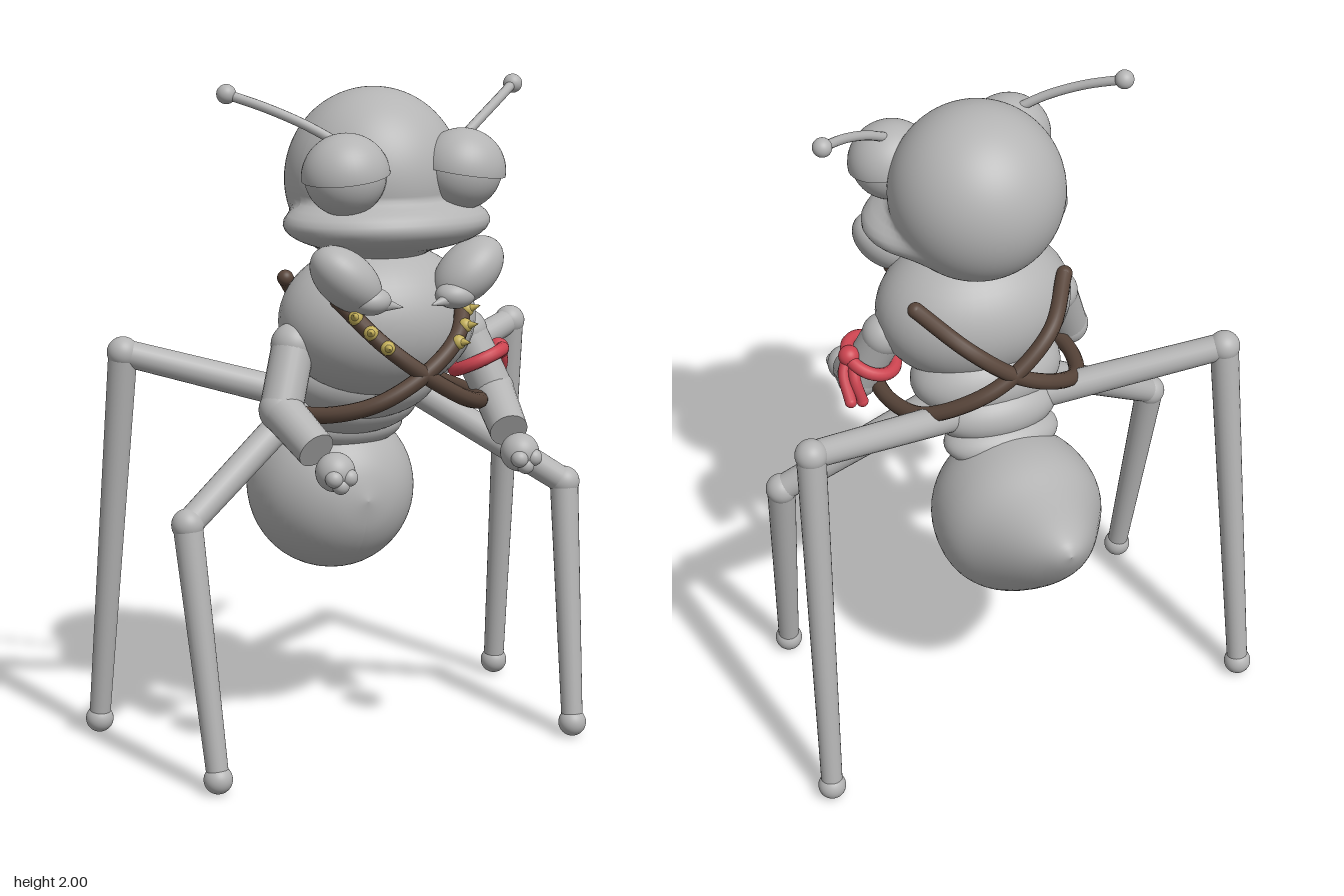
import * as THREE from 'three';

const V = (x, y, z) => new THREE.Vector3(x, y, z);
const skin = new THREE.MeshStandardMaterial({ color: 0xb4b4b4, side: THREE.DoubleSide });
skin.name = 'grey skin';
const leather = new THREE.MeshStandardMaterial({ color: 0x58453a });
leather.name = 'brown leather';
const cloth = new THREE.MeshStandardMaterial({ color: 0xcc4450 });
cloth.name = 'red cloth';
const metal = new THREE.MeshStandardMaterial({ color: 0xc4b05a });
metal.name = 'gold metal';

function add(parent, name, geometry, material = skin) {
  const mesh = new THREE.Mesh(geometry, material);
  mesh.name = name;
  parent.add(mesh);
  return mesh;
}

function ellipsoid(parent, name, pos, radii, material = skin) {
  const mesh = add(parent, name, new THREE.SphereGeometry(1, 40, 28), material);
  mesh.position.copy(pos);
  mesh.scale.copy(radii);
  return mesh;
}
const ball = (parent, name, pos, r, material) => ellipsoid(parent, name, pos, V(r, r, r), material);

// Tapered cylinder between two points
function limb(parent, name, a, b, ra, rb, material = skin) {
  const dir = b.clone().sub(a);
  const mesh = add(parent, name, new THREE.CylinderGeometry(rb, ra, dir.length(), 24), material);
  mesh.position.copy(a).add(b).multiplyScalar(0.5);
  mesh.quaternion.setFromUnitVectors(V(0, 1, 0), dir.normalize());
  return mesh;
}

// Tube along a smooth curve with rounded ends
function cord(parent, name, points, r, material) {
  const curve = new THREE.CatmullRomCurve3(points);
  add(parent, name, new THREE.TubeGeometry(curve, points.length * 10, r, 12), material);
  for (const p of [points[0], points[points.length - 1]]) ball(parent, name + 'End', p, r, material);
  return curve;
}

// Distance from an inner point along a direction to an ellipsoid's surface
function exitDistance(origin, dir, centre, radii) {
  const o = origin.clone().sub(centre).divide(radii);
  const d = dir.clone().divide(radii);
  const a = d.dot(d), b = o.dot(d), c = o.dot(o) - 1;
  return (-b + Math.sqrt(b * b - a * c)) / a;
}

// Skull and wide muzzle blended into one surface
function headGeometry() {
  const origin = V(0, 1.66, 0.17);
  const geometry = new THREE.SphereGeometry(1, 80, 64);
  const p = geometry.attributes.position;
  for (let i = 0; i < p.count; i++) {
    const d = V(p.getX(i), p.getY(i), p.getZ(i)).normalize();
    const skull = exitDistance(origin, d, V(0, 1.72, 0.13), V(0.258, 0.264, 0.256));
    const muzzle = exitDistance(origin, d, V(0, 1.605, 0.22), V(0.312, 0.09, 0.235));
    const k = 0.035;
    const h = Math.max(k - Math.abs(skull - muzzle), 0) / k;
    d.multiplyScalar(Math.max(skull, muzzle) + h * h * k / 4).add(origin);
    p.setXYZ(i, d.x, d.y, d.z);
  }
  geometry.computeVertexNormals();
  return geometry;
}

// Pear-shaped rear body, its tip swept upward
function gasterGeometry() {
  const profile = new THREE.SplineCurve([
    [0, 0.105], [0.1, 0.08], [0.18, 0.025], [0.235, -0.06], [0.254, -0.16], [0.24, -0.25],
    [0.186, -0.35], [0.115, -0.46], [0.05, -0.53], [0, -0.555],
  ].map(([r, z]) => new THREE.Vector2(r, z)));
  const pts = profile.getPoints(48).map(q => new THREE.Vector2(Math.max(q.x, 0), q.y)).reverse();
  const geometry = new THREE.LatheGeometry(pts, 48);
  geometry.rotateX(Math.PI / 2);
  const p = geometry.attributes.position;
  for (let i = 0; i < p.count; i++) {
    const t = Math.max(0, (-0.15 - p.getZ(i)) / 0.4);
    p.setY(i, p.getY(i) + 0.752 + 0.12 * t * t);
  }
  geometry.computeVertexNormals();
  return geometry;
}

function buildSide(s) {
  const g = new THREE.Group();
  g.name = s > 0 ? 'leftSide' : 'rightSide';
  const P = (x, y, z) => V(s * x, y, z);

  // Eye with heavy upper lid
  const eye = ellipsoid(g, 'eye', P(0.185, 1.755, 0.325), V(0.118, 0.115, 0.108));
  eye.rotation.z = s * 0.15;
  const lid = add(g, 'eyelid', new THREE.SphereGeometry(1, 40, 16, 0, Math.PI * 2, 0, Math.PI / 2));
  lid.position.copy(P(0.185, 1.752, 0.328));
  lid.scale.set(0.127, 0.122, 0.119);
  lid.rotation.set(0.08, 0, -s * 0.13);

  // Antenna
  cord(g, 'antenna', [P(0.19, 1.84, 0.31), P(0.28, 1.895, 0.265), P(0.37, 1.94, 0.205), P(0.46, 1.977, 0.13)], 0.014, skin);
  ball(g, 'antennaTip', P(0.46, 1.977, 0.13), 0.028);

  // Mandible with small point
  const jaw = ellipsoid(g, 'mandible', P(0.195, 1.465, 0.35), V(0.122, 0.077, 0.092));
  jaw.rotation.z = s * 0.72;
  ellipsoid(g, 'mandibleLobe', P(0.135, 1.405, 0.385), V(0.06, 0.04, 0.05));
  limb(g, 'mandibleTip', P(0.1, 1.395, 0.4), P(0.045, 1.385, 0.41), 0.02, 0.001);

  // Arm
  const elbow = P(0.345, 1.085, 0.235);
  ball(g, 'shoulder', P(0.28, 1.26, 0.18), 0.065);
  limb(g, 'upperArm', P(0.28, 1.26, 0.18), elbow, 0.062, 0.062);
  ball(g, 'elbow', elbow, 0.064);
  limb(g, 'forearm', elbow, P(0.31, 0.995, 0.395), 0.062, 0.056);
  ball(g, 'hand', P(0.295, 0.95, 0.485), 0.056);
  for (const [x, y, z] of [[0.272, 0.94, 0.525], [0.318, 0.94, 0.525], [0.295, 0.918, 0.52]])
    ball(g, 'finger', P(x, y, z), 0.025);

  // Legs: hip, knee, foot
  const legs = [
    ['frontLeg', P(0.14, 1.1, 0.03), P(0.62, 0.77, 0.195), P(0.588, 0.045, 0.32)],
    ['backLeg', P(0.1, 1.045, -0.01), P(0.652, 1.205, -0.207), P(0.692, 0.045, -0.355)],
  ];
  for (const [name, hip, knee, foot] of legs) {
    limb(g, name + 'Thigh', hip, knee, 0.046, 0.04);
    ball(g, name + 'Knee', knee, 0.047);
    limb(g, name + 'Shin', knee, foot, 0.043, 0.032);
    ball(g, name + 'Foot', foot, 0.042);
  }

  // Studded strap from this shoulder, across the chest and round the back
  const strap = cord(g, 'strap', [
    P(0.2, 1.4, 0.31), P(0.12, 1.29, 0.425), P(0, 1.195, 0.455), P(-0.14, 1.115, 0.425),
    P(-0.26, 1.075, 0.31), P(-0.3, 1.075, 0.14), P(-0.25, 1.1, -0.03), P(-0.12, 1.175, -0.125),
    P(0, 1.245, -0.142), P(0.13, 1.35, -0.11), P(0.235, 1.43, 0.03),
  ], 0.024, leather);
  for (const t of [0.045, 0.08, 0.115]) {
    const p = strap.getPointAt(t);
    const out = p.clone().sub(V(0, 1.25, 0.12)).normalize();
    ball(g, 'studBase', p.clone().addScaledVector(out, 0.016), 0.021, metal);
    limb(g, 'stud', p.clone().addScaledVector(out, 0.02), p.clone().addScaledVector(out, 0.062), 0.016, 0.001, metal);
  }
  return g;
}

export function createModel() {
  const model = new THREE.Group();
  model.name = 'antWarrior';
  add(model, 'head', headGeometry());

  // Body segments from neck to waist
  ellipsoid(model, 'neck', V(0, 1.48, 0.15), V(0.15, 0.08, 0.14));
  ellipsoid(model, 'thorax', V(0, 1.315, 0.16), V(0.3, 0.225, 0.235));
  ellipsoid(model, 'upperWaist', V(0, 1.13, 0.07), V(0.235, 0.13, 0.16));
  ellipsoid(model, 'middleWaist', V(0, 1.045, 0.01), V(0.2, 0.1, 0.135));
  ellipsoid(model, 'lowerWaist', V(0, 0.965, -0.045), V(0.18, 0.075, 0.11));
  add(model, 'gaster', gasterGeometry());

  for (const s of [1, -1]) model.add(buildSide(s));

  // Red cloth band tied round the left arm
  const band = add(model, 'armBand', new THREE.TorusGeometry(0.078, 0.02, 12, 40), cloth);
  band.position.set(0.312, 1.175, 0.205);
  band.quaternion.setFromUnitVectors(V(0, 0, 1), V(0.3, -0.85, 0.25).normalize());
  ball(model, 'bandKnot', V(0.385, 1.2, 0.195), 0.032, cloth);
  cord(model, 'bandTail', [V(0.385, 1.2, 0.2), V(0.41, 1.155, 0.175), V(0.41, 1.085, 0.125)], 0.018, cloth);
  cord(model, 'bandTail', [V(0.375, 1.2, 0.19), V(0.385, 1.14, 0.15), V(0.37, 1.07, 0.135)], 0.018, cloth);
  return model;
}
